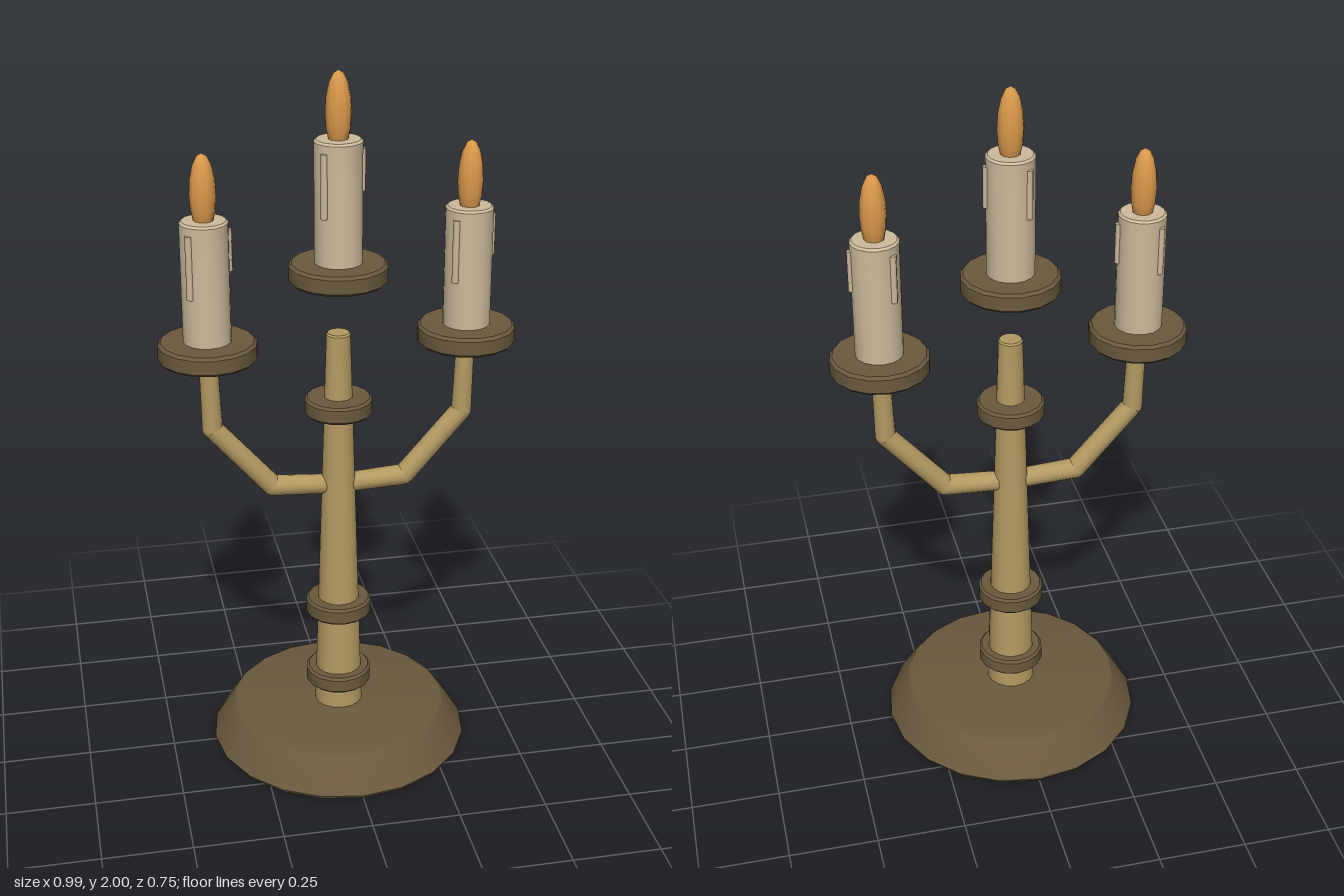
import * as THREE from 'three';
import { toCreasedNormals } from 'three/addons/utils/BufferGeometryUtils.js';

const material = (name, color) => {
  const m = new THREE.MeshStandardMaterial({ color });
  m.name = name;
  return m;
};

export function createModel() {
  const model = new THREE.Group();
  model.name = 'candelabra';
  const bronze = material('dark bronze', 0x6b5a3e);
  const brass = material('brass', 0xb49a62);
  const wax = material('wax', 0xcdbb9b);
  const flameColor = material('flame', 0xdc9a4c);

  const add = (parent, name, geometry, mat, x = 0, y = 0, z = 0) => {
    const mesh = new THREE.Mesh(geometry, mat);
    mesh.name = name;
    mesh.position.set(x, y, z);
    parent.add(mesh);
    return mesh;
  };
  // Turned part from [radius, height] pairs, with crisp profile edges
  const turned = (profile, sides) => toCreasedNormals(
    new THREE.LatheGeometry(profile.map(([r, y]) => new THREE.Vector2(r, y)), sides), 0.5);
  // Disc with a small bevel on both rims
  const disc = (r, h, b, sides) => turned(
    [[0, -h / 2], [r - b, -h / 2], [r, -h / 2 + b], [r, h / 2 - b], [r - b, h / 2], [0, h / 2]], sides);

  // Base and tapered stem
  add(model, 'base', turned(
    [[0, 0], [0.37, 0], [0.375, 0.01], [0.323, 0.095], [0.312, 0.106], [0.295, 0.11], [0, 0.11]], 20), bronze);
  add(model, 'stem', turned([[0, 0.1], [0.071, 0.1], [0.034, 1.275], [0.03, 1.28], [0, 1.28]], 16), brass);
  for (const y of [0.198, 0.43, 1.065]) add(model, 'stemRing', disc(0.095, 0.05, 0.007, 16), bronze, 0, y);

  // Bent arms: straight rods with rounded joints
  const path = [[0, 0.82], [0.19, 0.831], [0.354, 1.02], [0.36, 1.24]];
  const radii = [0.028, 0.03, 0.029, 0.026];
  for (const side of [-1, 1]) {
    const arm = new THREE.Group();
    arm.name = side > 0 ? 'leftArm' : 'rightArm';
    model.add(arm);
    const points = path.map(([x, y]) => new THREE.Vector3(side * x, y, 0));
    for (let i = 0; i < 3; i++) {
      const a = points[i], b = points[i + 1];
      const direction = b.clone().sub(a);
      const rod = add(arm, 'armRod',
        new THREE.CylinderGeometry(radii[i + 1], radii[i], direction.length(), 12), brass);
      rod.position.copy(a).add(b).multiplyScalar(0.5);
      rod.quaternion.setFromUnitVectors(new THREE.Vector3(0, 1, 0), direction.normalize());
      if (i > 0) add(arm, 'armJoint', new THREE.SphereGeometry(radii[i], 12, 8), brass, a.x, a.y);
    }
  }

  // Drips: [angle around the candle, length]
  const drips = [[0, 0.115], [2.38, 0.175], [-2.2, 0.135]];

  // Dish, candle, drips and flame, repeated three times
  for (const [x, y] of [[-0.36, 1.255], [0, 1.455], [0.36, 1.255]]) {
    const holder = new THREE.Group();
    holder.name = 'candleHolder';
    holder.position.set(x, y, 0);
    model.add(holder);
    add(holder, 'dish', disc(0.136, 0.055, 0.008, 16), bronze);
    add(holder, 'candle', turned(
      [[0, 0.02], [0.066, 0.02], [0.066, 0.359], [0.06, 0.365], [0, 0.365]], 16), wax);
    for (const [angle, length] of drips) {
      add(holder, 'waxDrip', new THREE.CylinderGeometry(0.01, 0.01, length, 8), wax,
        0.064 * Math.cos(angle), 0.337 - length / 2, 0.064 * Math.sin(angle));
    }
    const flame = add(holder, 'flame', new THREE.SphereGeometry(1, 10, 8), flameColor, 0, 0.435);
    flame.scale.set(0.036, 0.11, 0.036);
  }
  return model;
}
